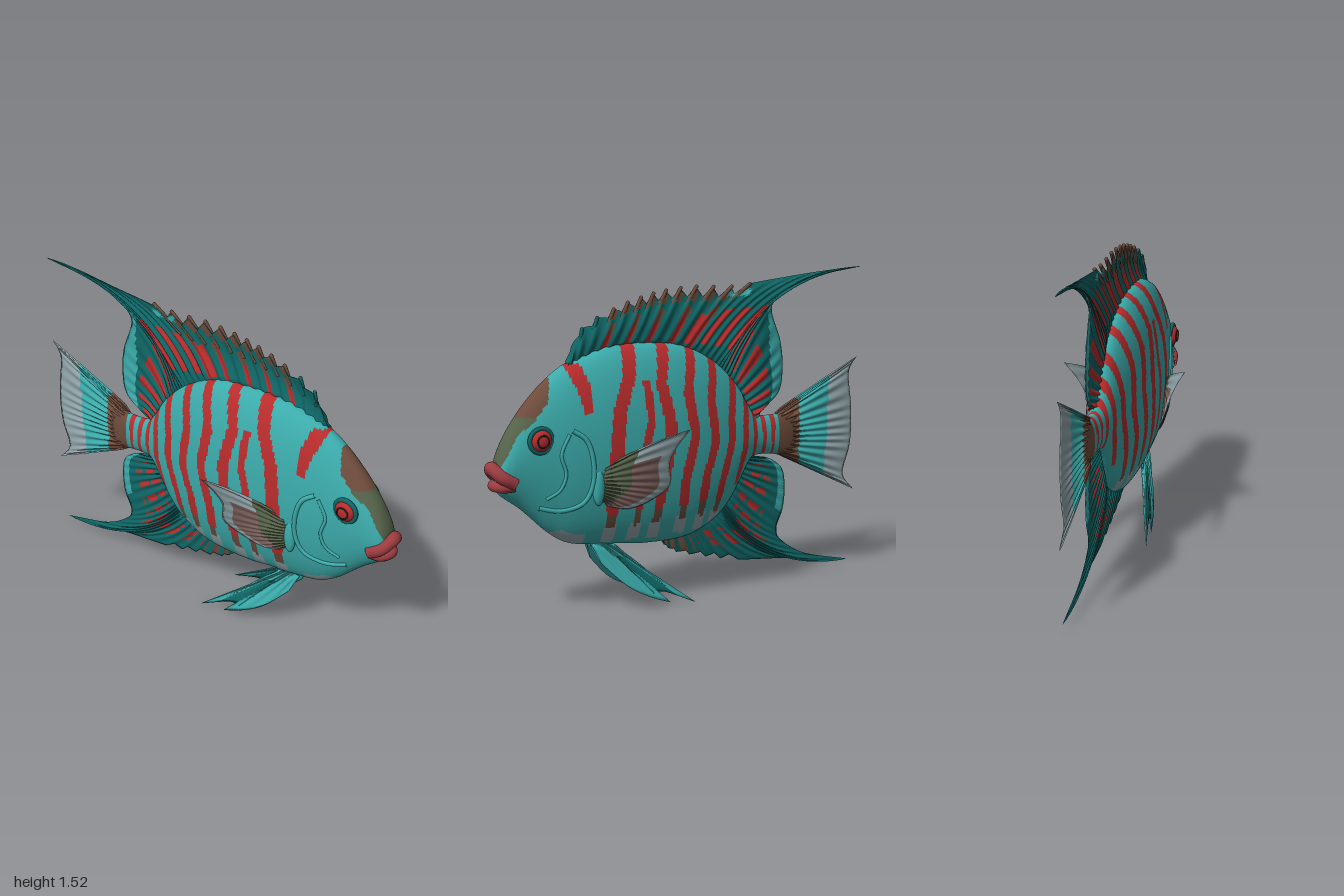
import * as THREE from 'three';

const COLOURS = {
  teal: 0x3cabab, darkTeal: 0x0f6666, red: 0xb82c2c, brown: 0x6e4c3c, olive: 0x56634a,
  paleGrey: 0x92a6ab, mauve: 0x7c605c, lipRed: 0x9c3c40, black: 0x1c2426,
};
const NAMES = Object.keys(COLOURS);
const MATS = NAMES.map((name) => new THREE.MeshStandardMaterial({ color: COLOURS[name], side: THREE.DoubleSide }));
const mat = (name) => MATS[NAMES.indexOf(name)];
const lerp = THREE.MathUtils.lerp;
const fract = (n) => n - Math.floor(n);

// Smooth interpolation through the rows of a small table, t in row units
function sample(rows, t) {
  const n = rows.length - 1, i = Math.min(Math.floor(t), n - 1), f = t - i;
  const [p, a, b, q] = [rows[Math.max(i - 1, 0)], rows[i], rows[i + 1], rows[Math.min(i + 2, n)]];
  return a.map((v, k) => {
    const m0 = (b[k] - p[k]) / 2, m1 = (q[k] - v) / 2, f2 = f * f, f3 = f2 * f;
    return (2 * f3 - 3 * f2 + 1) * v + (f3 - 2 * f2 + f) * m0 + (3 * f2 - 2 * f3) * b[k] + (f3 - f2) * m1;
  });
}

// Linear lookup of column c in rows sorted by column 0
function lookup(rows, x, c) {
  let i = 0;
  while (i < rows.length - 2 && rows[i + 1][0] < x) i++;
  const f = THREE.MathUtils.clamp((x - rows[i][0]) / (rows[i + 1][0] - rows[i][0]), 0, 1);
  return lerp(rows[i][c], rows[i + 1][c], f);
}

// Surface closed around v; each cell takes the colour its rule names
function loopSurface(name, nu, nv, point, colour) {
  const pos = [], buckets = NAMES.map(() => []);
  for (let i = 0; i <= nu; i++) for (let j = 0; j < nv; j++) pos.push(...point(i / nu, j / nv));
  for (let i = 0; i < nu; i++) for (let j = 0; j < nv; j++) {
    const k = (j + 1) % nv, a = i * nv + j, b = i * nv + k, c = a + nv, d = b + nv;
    const x = (pos[a * 3] + pos[d * 3]) / 2, y = (pos[a * 3 + 1] + pos[d * 3 + 1]) / 2;
    buckets[NAMES.indexOf(colour(x, y, (i + 0.5) / nu, (j + 0.5) / nv))].push(a, b, c, b, d, c);
  }
  const geo = new THREE.BufferGeometry();
  geo.setAttribute('position', new THREE.Float32BufferAttribute(pos, 3));
  geo.setIndex(buckets.flat());
  let start = 0;
  buckets.forEach((list, m) => {
    if (list.length) geo.addGroup(start, list.length, m);
    start += list.length;
  });
  geo.computeVertexNormals();
  const mesh = new THREE.Mesh(geo, MATS);
  mesh.name = name;
  return mesh;
}

// Body stations: x, top, bottom, half width
const BODY = [
  [-0.65, 0.84, 0.63, 0.004], [-0.6, 0.85, 0.61, 0.022], [-0.5, 0.83, 0.635, 0.035], [-0.4, 0.84, 0.64, 0.046],
  [-0.355, 0.89, 0.61, 0.056], [-0.3, 0.98, 0.515, 0.07], [-0.23, 1.06, 0.41, 0.085], [-0.15, 1.125, 0.345, 0.103],
  [-0.05, 1.18, 0.3, 0.122], [0.06, 1.215, 0.283, 0.136], [0.22, 1.23, 0.285, 0.145], [0.34, 1.23, 0.3, 0.144],
  [0.45, 1.215, 0.31, 0.138], [0.6, 1.16, 0.335, 0.122], [0.7, 1.095, 0.395, 0.106], [0.78, 1.02, 0.47, 0.094],
  [0.84, 0.95, 0.525, 0.085], [0.9, 0.86, 0.57, 0.074], [0.94, 0.77, 0.605, 0.056], [0.955, 0.69, 0.66, 0.004],
];
function bodyZ(x, y) {
  const top = lookup(BODY, x, 1), bottom = lookup(BODY, x, 2);
  const q = (2 * y - top - bottom) / (top - bottom);
  return lookup(BODY, x, 3) * Math.sqrt(Math.max(0, 1 - q * q));
}

// Wavy bars: half width, then [y, x] from the bottom up
const BARS = [
  [0.034, [0.38, 0.43], [0.6, 0.42], [0.8, 0.41], [0.95, 0.39], [1.1, 0.33], [1.25, 0.3]],
  [0.02, [0.38, 0.3], [0.6, 0.28], [0.75, 0.27], [0.9, 0.235], [1.08, 0.25]],
  [0.03, [0.38, 0.2], [0.55, 0.18], [0.7, 0.15], [0.85, 0.13], [1.05, 0.17], [1.25, 0.12]],
  [0.027, [0.38, 0.055], [0.6, 0.05], [0.8, 0.0], [1.0, 0.03], [1.22, -0.03]],
  [0.025, [0.38, -0.05], [0.6, -0.07], [0.75, -0.12], [0.95, -0.1], [1.17, -0.15]],
  [0.022, [0.38, -0.14], [0.55, -0.17], [0.75, -0.225], [0.85, -0.22], [1.06, -0.26]],
  [0.018, [0.5, -0.26], [0.7, -0.31], [0.8, -0.31], [0.96, -0.33]],
  [0.013, [0.62, -0.375], [0.88, -0.375]], [0.013, [0.62, -0.435], [0.86, -0.43]],
  [0.012, [0.62, -0.485], [0.86, -0.485]],
  [0.036, [0.92, 0.535], [1.05, 0.55], [1.16, 0.585]],
];
const CAP = [[0.69, 1.1], [0.72, 1.0], [0.79, 0.92], [0.86, 0.87], [0.93, 0.75], [0.96, 0.7]];
function bodyColour(x, y) {
  if (x < -0.52) return 'brown';
  if (x > 0.69 && y > lookup(CAP, x, 1)) return y > 0.94 ? 'brown' : 'olive';
  if (x > 0.54 && x < 0.77 && y < 0.415 - Math.abs(x - 0.66) * 0.3) return 'paleGrey';
  for (const [half, ...line] of BARS) {
    const low = line[0][0], d = Math.abs(x - lookup(line, y, 1));
    if (y > low + 0.02 && y < line[line.length - 1][0] && d < half * Math.min(1, 0.55 + (y - low) * 3))
      return low < 0.4 && y < 0.47 ? 'brown' : 'red';
    if (low < 0.4 && y > 0.325 && y < 0.41 && d < 0.03) return 'paleGrey';
  }
  return 'teal';
}

// Point on a fin ray, row = root x, root y, edge x, edge y, bend
function rayPoint([rx, ry, ex, ey, bend], s) {
  const cx = (rx + ex) / 2 + bend * (ey - ry), cy = (ry + ey) / 2 - bend * (ex - rx), r = 1 - s;
  return [r * r * rx + 2 * r * s * cx + s * s * ex, r * r * ry + 2 * r * s * cy + s * s * ey];
}

// Thin lens-shaped fin with ribbed rays
function fin(name, rows, { nu, nv, thick, rays, colour, z = () => 0, notch = () => 0 }) {
  const last = rows.length - 1, along = (v) => 1 - Math.abs(1 - 2 * v);
  return loopSurface(name, nu, nv, (u, v) => {
    const s = along(v), [x, y] = rayPoint(sample(rows, u * last), s * (1 - notch(u * last)));
    const t = thick * Math.pow(1 - s, 0.6) * Math.min(1, s * 8) * (1 + 0.45 * Math.cos(u * rays * 2 * Math.PI));
    return [x, y, z(x, y, s) + (v < 0.5 ? t : -t)];
  }, (x, y, u, v) => colour(x, y, along(v), u * last));
}

const DORSAL = [
  [0.6, 1.14, 0.6, 1.17, 0], [0.55, 1.16, 0.52, 1.31, 0], [0.45, 1.19, 0.36, 1.39, 0], [0.33, 1.21, 0.22, 1.435, 0],
  [0.22, 1.21, 0.09, 1.46, 0.03], [0.1, 1.2, -0.07, 1.47, 0.05], [0, 1.17, -0.26, 1.46, 0.1],
  [-0.07, 1.14, -0.47, 1.48, 0.18], [-0.13, 1.1, -0.74, 1.505, 0.25], [-0.17, 1.06, -1, 1.52, 0.27],
  [-0.19, 1.05, -0.74, 1.485, 0.25], [-0.22, 1.02, -0.58, 1.43, 0.2], [-0.25, 0.99, -0.49, 1.35, 0.12],
  [-0.28, 0.95, -0.54, 1.185, 0.05], [-0.31, 0.9, -0.555, 1.05, 0], [-0.34, 0.86, -0.53, 0.93, 0],
  [-0.39, 0.82, -0.42, 0.85, 0],
];
function dorsalColour(x, y, s, t) {
  if (x < -0.47 && y < 1.38 && s > 0.72) return 'teal';
  if (x > -0.36 && x < -0.24 && y > 1.415 && y < 1.445) return 'teal';
  if (t > 5 && s > 0.12 && s < 0.62 && y < 1.36 && fract(t * 1.05) < 0.45) return 'red';
  if (t > 1.5 && t < 6.5 && s < 0.7 && fract(t) < 0.3) return s < 0.45 ? 'red' : 'brown';
  if (t > 2 && t < 6.5 && s > 0.78 && fract(t * 2) < 0.5) return 'brown';
  return 'darkTeal';
}

const ANAL = [
  [-0.36, 0.65, -0.38, 0.63, 0], [-0.34, 0.64, -0.47, 0.62, 0], [-0.31, 0.62, -0.555, 0.56, 0],
  [-0.29, 0.58, -0.575, 0.465, 0], [-0.27, 0.55, -0.565, 0.355, 0], [-0.25, 0.5, -0.53, 0.26, -0.08],
  [-0.22, 0.45, -0.56, 0.195, -0.15], [-0.2, 0.43, -0.7, 0.11, -0.22], [-0.18, 0.41, -0.95, 0.045, -0.25],
  [-0.15, 0.39, -0.58, 0.1, -0.2], [-0.1, 0.36, -0.31, 0.13, -0.1], [-0.03, 0.33, -0.125, 0.17, 0],
  [0.06, 0.31, 0.035, 0.215, 0], [0.12, 0.3, 0.1, 0.26, 0],
];
function analColour(x, y, s, t) {
  if (t > 1 && t < 4.2 && s > 0.85) return 'teal';
  if (t > 2 && t < 11 && s > 0.2 && s < 0.72 && x > -0.5 && y > 0.2 && fract(t * 1.1) < 0.4 && fract(s * 4 + t * 0.3) < 0.75)
    return s > 0.6 ? 'brown' : 'red';
  return t > 11.2 && fract(t * 2) < 0.45 ? 'brown' : 'darkTeal';
}

const TAIL = [
  [-0.5, 0.825, -0.99, 1.075, 0], [-0.5, 0.81, -0.945, 1.0, 0], [-0.5, 0.77, -0.962, 0.84, 0],
  [-0.5, 0.73, -0.965, 0.72, 0], [-0.5, 0.69, -0.955, 0.62, 0], [-0.5, 0.655, -0.92, 0.49, 0],
  [-0.5, 0.645, -0.985, 0.405, 0],
];
const PECTORAL = [
  [0.48, 0.69, 0.125, 0.865, 0.04], [0.49, 0.66, 0.185, 0.72, 0], [0.5, 0.63, 0.165, 0.59, 0],
  [0.5, 0.6, 0.24, 0.525, 0], [0.5, 0.575, 0.35, 0.492, 0], [0.49, 0.55, 0.46, 0.515, 0],
];
const PELVIC = [
  [0.38, 0.31, 0.34, 0.27, 0], [0.4, 0.31, 0.26, 0.2, 0], [0.41, 0.31, 0.15, 0.09, 0], [0.42, 0.315, 0.01, 0.003, 0],
  [0.43, 0.315, 0.16, 0.068, 0], [0.44, 0.32, 0.215, 0.062, 0], [0.45, 0.32, 0.14, 0.02, 0],
  [0.46, 0.32, 0.24, 0.055, 0], [0.48, 0.32, 0.35, 0.12, 0], [0.5, 0.32, 0.46, 0.23, 0],
];

function add(group, name, geo, colour, x = 0, y = 0, z = 0) {
  const mesh = new THREE.Mesh(geo, mat(colour));
  mesh.name = name;
  mesh.position.set(x, y, z);
  group.add(mesh);
  return mesh;
}
const tube = (points, radius) => new THREE.TubeGeometry(
  new THREE.CatmullRomCurve3(points.map((p) => new THREE.Vector3(...p))), 40, radius, 12);

export function createModel() {
  const fish = new THREE.Group();
  fish.name = 'fish';

  fish.add(loopSurface('body', 285, 96, (u, v) => {
    const [x, top, bottom, w] = sample(BODY, u * (BODY.length - 1)), a = v * 2 * Math.PI;
    return [x, (top + bottom) / 2 + (top - bottom) / 2 * Math.cos(a), w * Math.sin(a)];
  }, bodyColour));

  // Middle fins
  const sway = (x, y, s) => -0.018 * Math.sin(Math.PI * s);
  fish.add(fin('dorsalFin', DORSAL, { nu: 256, nv: 48, thick: 0.014, rays: 32, z: sway, colour: dorsalColour,
    notch: (t) => (t < 6.5 ? 0.2 * fract(t * 2) : 0) }));
  fish.add(fin('analFin', ANAL, { nu: 208, nv: 40, thick: 0.012, rays: 26, colour: analColour,
    notch: (t) => (t > 10 ? 0.18 * fract(-t * 2) : 0) }));
  fish.add(fin('tailFin', TAIL, { nu: 120, nv: 56, thick: 0.018, rays: 15,
    colour: (x, y) => (x > -0.645 ? 'brown' : x < -0.81 + (0.75 - y) * 0.06 ? 'paleGrey' : 'teal') }));

  // Dorsal spines
  for (let t = 1; t <= 6.5; t += 0.5) {
    const row = sample(DORSAL, t), a = rayPoint(row, 0.6), b = rayPoint(row, 1.0);
    const dir = new THREE.Vector3(b[0] - a[0], b[1] - a[1], 0);
    const spine = add(fish, 'dorsalSpine', new THREE.CapsuleGeometry(0.009, dir.length(), 4, 8),
      t > 1.5 ? 'brown' : 'darkTeal', (a[0] + b[0]) / 2, (a[1] + b[1]) / 2, -0.01);
    spine.quaternion.setFromUnitVectors(new THREE.Vector3(0, 1, 0), dir.normalize());
  }

  // Paired parts
  for (const side of [1, -1]) {
    const tag = side > 0 ? 'left' : 'right';
    fish.add(fin(tag + 'PectoralFin', PECTORAL, { nu: 84, nv: 36, thick: 0.01, rays: 12,
      z: (x, y) => side * (0.125 + (0.5 - x) * 0.44 * Math.max(0, (y - 0.45) / 0.4)),
      colour: (x, y, s, t) => (s < 0.45 ? 'olive' : t > 0.8 && s < 0.82 && x > 0.19 ? 'mauve' : 'paleGrey') }));
    add(fish, tag + 'PectoralBase', new THREE.SphereGeometry(1, 20, 14), 'teal', 0.5, 0.605, side * 0.122)
      .scale.set(0.03, 0.085, 0.022);
    fish.add(fin(tag + 'PelvicFin', PELVIC, { nu: 90, nv: 24, thick: 0.01, rays: 9,
      z: (x, y) => side * (0.025 + (0.32 - y) * 0.365),
      colour: (x, y, s, t) => (t > 3.6 && t < 5.6 && s > 0.25 ? 'darkTeal' : 'teal') }));

    const eyeZ = bodyZ(0.765, 0.84);
    add(fish, tag + 'Eye', new THREE.SphereGeometry(0.05, 28, 18), 'red', 0.765, 0.84, side * eyeZ).scale.z = 0.64;
    add(fish, tag + 'EyeRim', new THREE.TorusGeometry(0.054, 0.011, 10, 36), 'darkTeal', 0.765, 0.84, side * eyeZ);
    add(fish, tag + 'PupilRing', new THREE.TorusGeometry(0.027, 0.004, 8, 28), 'black', 0.765, 0.84, side * (eyeZ + 0.026));

    // Gill cover ridges follow the cheek
    const onCheek = ([x, y]) => [x, y, side * bodyZ(x, y)];
    add(fish, tag + 'GillEdge', tube([[0.62, 0.875], [0.56, 0.83], [0.53, 0.74], [0.53, 0.62], [0.57, 0.54],
      [0.67, 0.51], [0.77, 0.53]].map(onCheek), 0.011), 'teal');
    add(fish, tag + 'CheekRidge', tube([[0.635, 0.86], [0.675, 0.77], [0.655, 0.68], [0.68, 0.61],
      [0.74, 0.57]].map(onCheek), 0.008), 'teal');
  }

  // Mouth
  add(fish, 'upperLip', tube([[0.88, 0.65, 0.062], [0.935, 0.685, 0.052], [0.965, 0.72, 0], [0.935, 0.685, -0.052],
    [0.88, 0.65, -0.062]], 0.031), 'lipRed');
  add(fish, 'lowerLip', tube([[0.88, 0.64, 0.056], [0.93, 0.637, 0.044], [0.957, 0.64, 0], [0.93, 0.637, -0.044],
    [0.88, 0.64, -0.056]], 0.025), 'lipRed');
  return fish;
}
